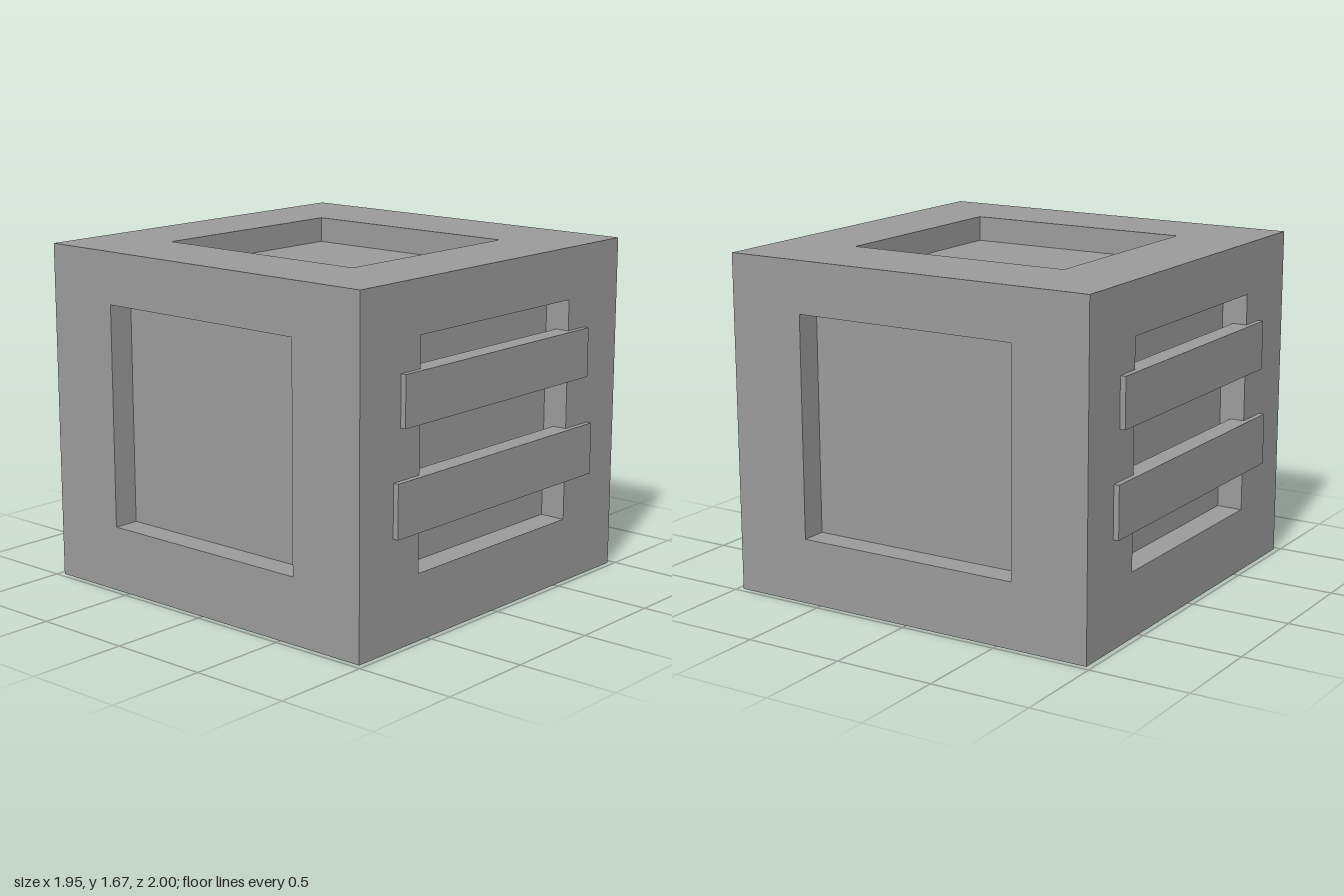
import * as THREE from 'three';

const W = 1.945, H = 1.672; // crate width (and depth), height

export function createModel() {
  const group = new THREE.Group();
  const material = new THREE.MeshStandardMaterial({ color: 0x9b9b9b });

  // One crate face: a flat border around a sunken rectangular recess, facing +z
  function recessedFace(name, height, hole) {
    const { w, h, x = 0, y = 0, depth } = hole;
    const face = new THREE.Group();
    face.name = name;
    const add = (part, geometry) => {
      const mesh = new THREE.Mesh(geometry, material);
      mesh.name = part;
      face.add(mesh);
    };
    const rect = (Type, cx, cy, rw, rh) => new Type([[-1, -1], [1, -1], [1, 1], [-1, 1]]
      .map(([sx, sy]) => new THREE.Vector2(cx + sx * rw / 2, cy + sy * rh / 2)));

    const border = rect(THREE.Shape, 0, 0, W, height);
    border.holes.push(rect(THREE.Path, x, y, w, h));
    add('border', new THREE.ShapeGeometry(border));
    add('recessFloor', new THREE.PlaneGeometry(w, h).translate(x, y, -depth));
    for (const s of [-1, 1]) {
      add('recessSideWall', new THREE.PlaneGeometry(depth, h)
        .rotateY(-s * Math.PI / 2).translate(x + s * w / 2, y, -depth / 2));
      add('recessEndWall', new THREE.PlaneGeometry(w, depth)
        .rotateX(s * Math.PI / 2).translate(x, y + s * h / 2, -depth / 2));
    }
    group.add(face);
    return face;
  }

  // Four upright faces
  ['front', 'right', 'back', 'left'].forEach((side, i) => {
    const face = recessedFace(side + 'Face', H,
      { w: i % 2 ? 1.16 : 1.13, h: 1.095, y: 0.034, depth: 0.13 });
    const angle = i * Math.PI / 2;
    face.rotation.y = angle;
    face.position.set(Math.sin(angle) * W / 2, H / 2, Math.cos(angle) * W / 2);
  });

  // Top and bottom faces
  for (const s of [-1, 1]) {
    const face = recessedFace(s > 0 ? 'topFace' : 'bottomFace', W,
      { w: 1.09, h: 1.16, x: -0.02, depth: 0.125 });
    face.rotation.x = -s * Math.PI / 2;
    face.position.y = s > 0 ? H : 0;
  }

  // Slats across the front and back recesses, set partly into them
  const inner = 0.9, outer = 1;
  for (const s of [-1, 1]) {
    for (const [name, width, y0, y1] of [['UpperSlat', 1.395, 1.022, 1.266], ['LowerSlat', 1.488, 0.525, 0.782]]) {
      const slat = new THREE.Mesh(new THREE.BoxGeometry(width, y1 - y0, outer - inner), material);
      slat.name = (s > 0 ? 'front' : 'back') + name;
      slat.position.set(0, (y0 + y1) / 2, s * (inner + outer) / 2);
      group.add(slat);
    }
  }
  return group;
}
